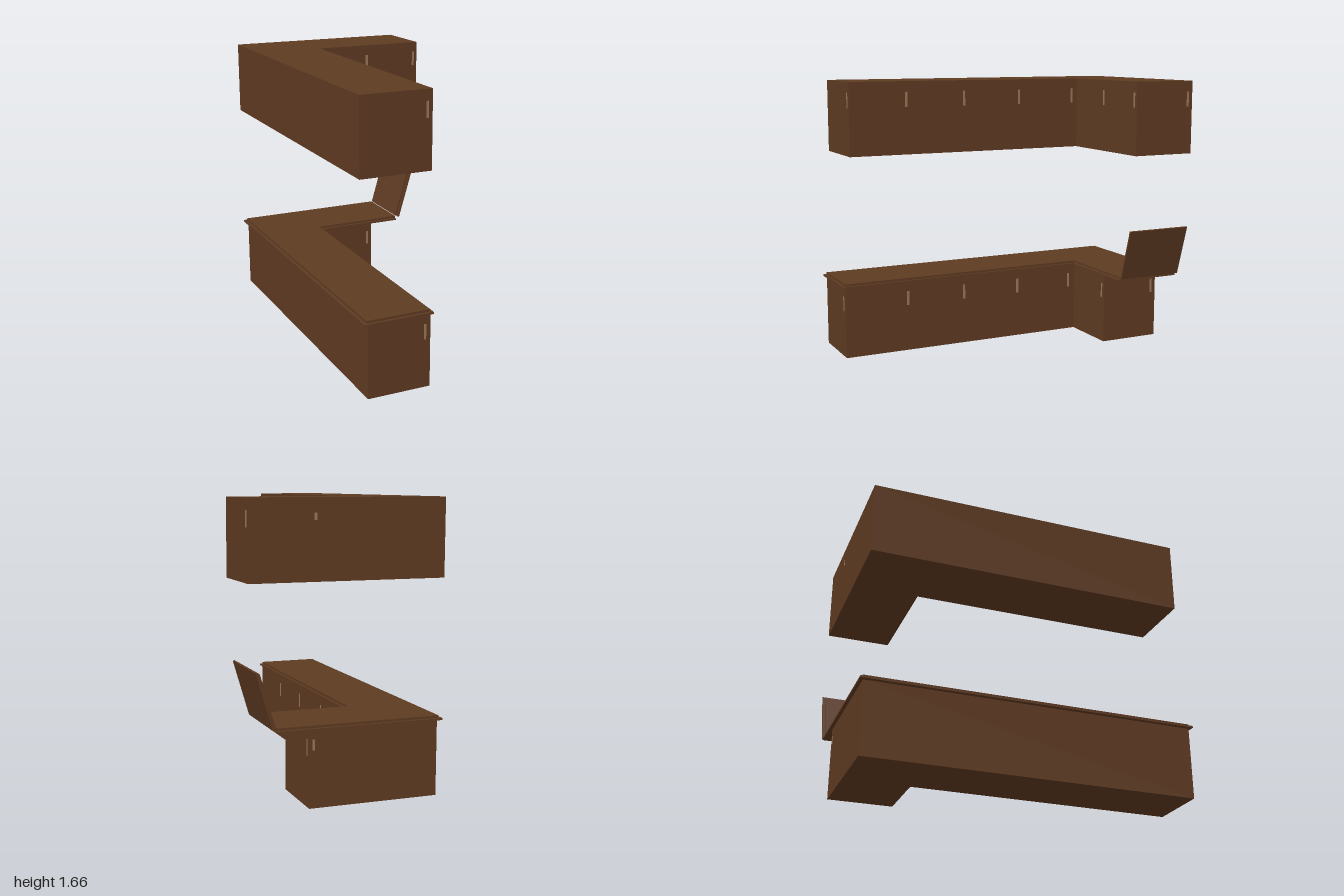
import * as THREE from 'three';

const wood = new THREE.MeshStandardMaterial({ color: 0x5f3b22 });
wood.name = 'brown wood';
const pale = new THREE.MeshStandardMaterial({ color: 0x9c7658 });
pale.name = 'pale handle';

// L-shaped slab: long arm runs along z at the right side, short arm along x at the back
function lSlab(name, { left, inner, end, back, corner, front }, y0, y1) {
  const s = new THREE.Shape(
    [[left, front], [inner, front], [inner, corner], [end, corner], [end, back], [left, back]]
      .map(([x, z]) => new THREE.Vector2(x, -z))
  );
  const g = new THREE.ExtrudeGeometry(s, { depth: y1 - y0, bevelEnabled: false });
  g.rotateX(-Math.PI / 2);
  const m = new THREE.Mesh(g, wood);
  m.name = name;
  m.position.y = y0;
  return m;
}

function box(name, w, h, d, x, y, z, mat = wood) {
  const m = new THREE.Mesh(new THREE.BoxGeometry(w, h, d), mat);
  m.name = name;
  m.position.set(x, y, z);
  return m;
}

export function createModel() {
  const model = new THREE.Group();

  // cabinets
  model.add(
    lSlab('baseCabinets', { left: -0.535, inner: -0.16, end: 0.22, back: -0.98, corner: -0.595, front: 0.985 }, 0, 0.435),
    lSlab('wallCabinets', { left: -0.56, inner: -0.142, end: 0.557, back: -0.985, corner: -0.59, front: 0.942 }, 1.22, 1.658)
  );

  // counter with a stepped edge
  model.add(
    lSlab('counterLip', { left: -0.56, inner: -0.147, end: 0.405, back: -1, corner: -0.582, front: 1 }, 0.431, 0.442),
    lSlab('counterTop', { left: -0.542, inner: -0.162, end: 0.405, back: -0.984, corner: -0.598, front: 0.984 }, 0.442, 0.456)
  );

  // raised counter flap, hinged at its lower edge
  const flap = new THREE.Group();
  flap.name = 'counterFlap';
  flap.position.set(0.42, 0.453, -0.793);
  flap.rotation.z = -0.29;
  flap.add(
    box('flapLip', 0.011, 0.323, 0.414, 0.007, 0.161, 0),
    box('flapTop', 0.013, 0.307, 0.382, -0.005, 0.154, 0)
  );
  model.add(flap);

  // handles: flush plates on the doors facing the aisle
  const handles = new THREE.Group();
  handles.name = 'handles';
  const t = 0.004, w = 0.014, h = 0.09;
  for (const z of [0.585, 0.207, -0.17, -0.55]) {
    handles.add(
      box('baseHandle', t, h, w, -0.16, 0.33, z, pale),
      box('wallHandle', t, h, w, -0.142, 1.55, z, pale)
    );
  }
  // handles on the run ends
  handles.add(
    box('baseEndHandle', t, h, w, 0.22, 0.33, -0.948, pale),
    box('wallEndHandle', t, h, w, 0.557, 1.55, -0.953, pale),
    box('baseFrontHandle', w, h, t, -0.193, 0.33, 0.985, pale),
    box('wallFrontHandle', w, h, t, -0.172, 1.55, 0.942, pale)
  );
  // handles on the short arm
  for (const x of [0.19, 0.53]) {
    handles.add(box('wallHandle', w, h, t, x, 1.55, -0.59, pale));
  }
  handles.add(
    box('baseHandle', w, h, t, 0.19, 0.33, -0.595, pale),
    box('baseBackHandle', w, 0.06, t, 0.195, 0.35, -0.98, pale),
    box('wallBackHandle', w, 0.04, t, 0.19, 1.56, -0.985, pale)
  );
  model.add(handles);

  return model;
}
